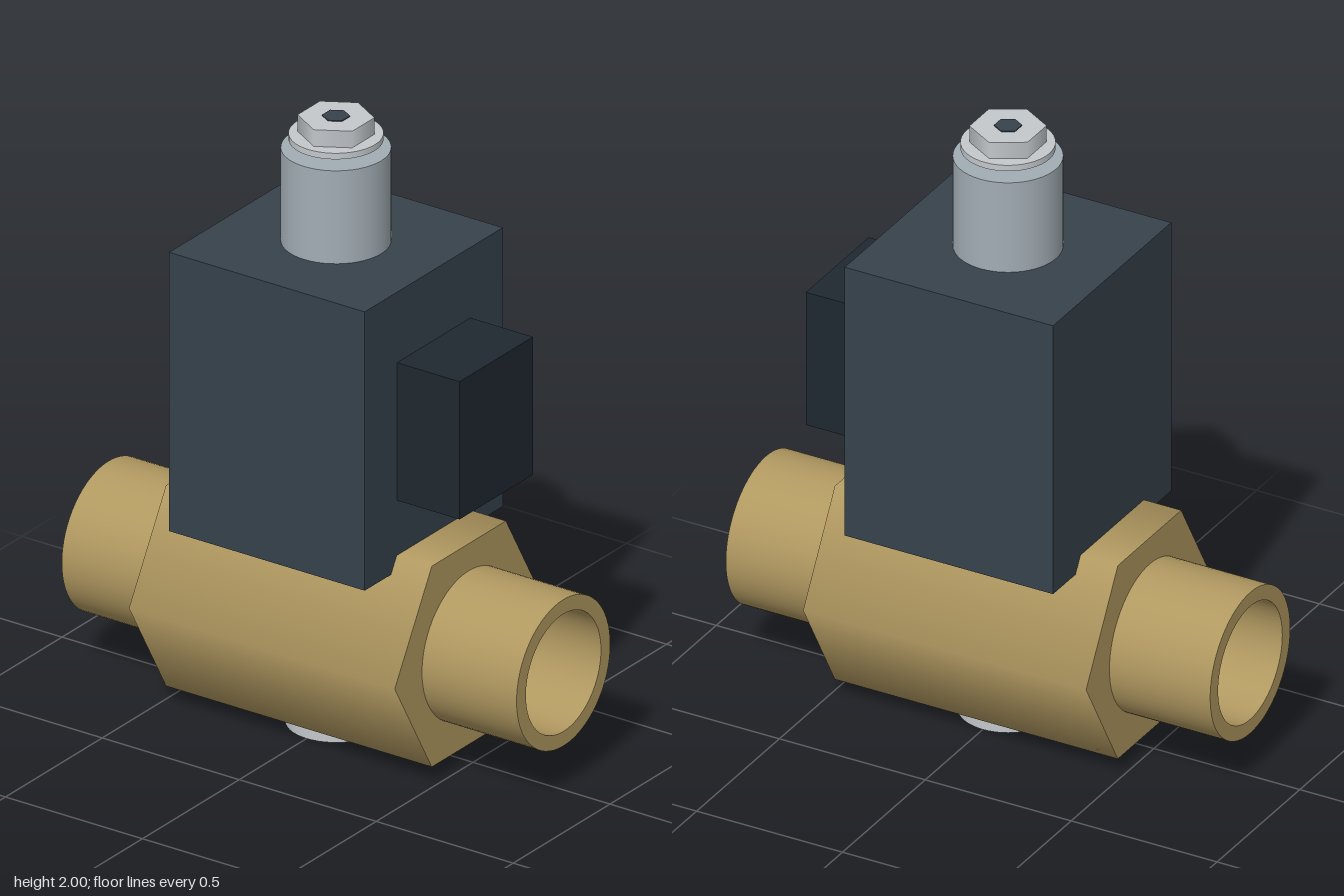
import * as THREE from 'three';
import { toCreasedNormals } from 'three/addons/utils/BufferGeometryUtils.js';

export function createModel() {
  const model = new THREE.Group();
  model.name = 'solenoidValve';

  const material = (color) => new THREE.MeshStandardMaterial({ color });
  const brass = material(0xb09860);
  const coilGrey = material(0x36424c);
  const black = material(0x1f2830);
  const steel = material(0xa2adb4);
  const brightSteel = material(0xc4c8cc);

  const add = (name, geometry, mat) => {
    const mesh = new THREE.Mesh(geometry, mat);
    mesh.name = name;
    model.add(mesh);
    return mesh;
  };

  // Upright cylinder or prism between two heights
  const post = (name, radius, y0, y1, mat, sides = 48) => {
    const mesh = add(name, new THREE.CylinderGeometry(radius, radius, y1 - y0, sides), mat);
    mesh.position.y = (y0 + y1) / 2;
  };

  // Box between two corners
  const block = (name, [x0, y0, z0], [x1, y1, z1], mat) => {
    const mesh = add(name, new THREE.BoxGeometry(x1 - x0, y1 - y0, z1 - z0), mat);
    mesh.position.set((x0 + x1) / 2, (y0 + y1) / 2, (z0 + z1) / 2);
  };

  // Hexagonal valve body lying along x
  const axisY = 0.387;
  const body = add('valveBody', new THREE.CylinderGeometry(0.383, 0.383, 0.97, 6), brass);
  body.rotation.z = Math.PI / 2;
  body.position.y = axisY;

  // Hollow pipe ends, one on each side
  const pipeProfile = [[0.242, 0.47], [0.242, 0.83], [0.194, 0.83], [0.194, 0.47]]
    .map(([r, y]) => new THREE.Vector2(r, y));
  const pipeGeometry = toCreasedNormals(new THREE.LatheGeometry(pipeProfile, 64), 0.6);
  for (const side of [1, -1]) {
    const pipe = add(side > 0 ? 'leftPipe' : 'rightPipe', pipeGeometry, brass);
    pipe.rotation.z = -side * Math.PI / 2;
    pipe.position.y = axisY;
  }

  // Plug under the body
  post('bottomPlug', 0.152, 0, 0.12, brightSteel);

  // Coil housing and its electrical connector
  block('coilHousing', [-0.357, 0.667, -0.357], [0.357, 1.588, 0.357], coilGrey);
  block('connector', [0.35, 0.9, -0.19], [0.585, 1.355, 0.19], black);

  // Armature tube, neck, washer and hexagonal nut with a dark socket
  post('armatureTube', 0.165, 1.58, 1.895, steel);
  post('neck', 0.062, 1.89, 1.925, steel);
  post('washer', 0.142, 1.922, 1.942, brightSteel);
  post('topNut', 0.115, 1.942, 1.997, brightSteel, 6);
  post('nutSocket', 0.042, 1.98, 2, coilGrey, 6);

  return model;
}
